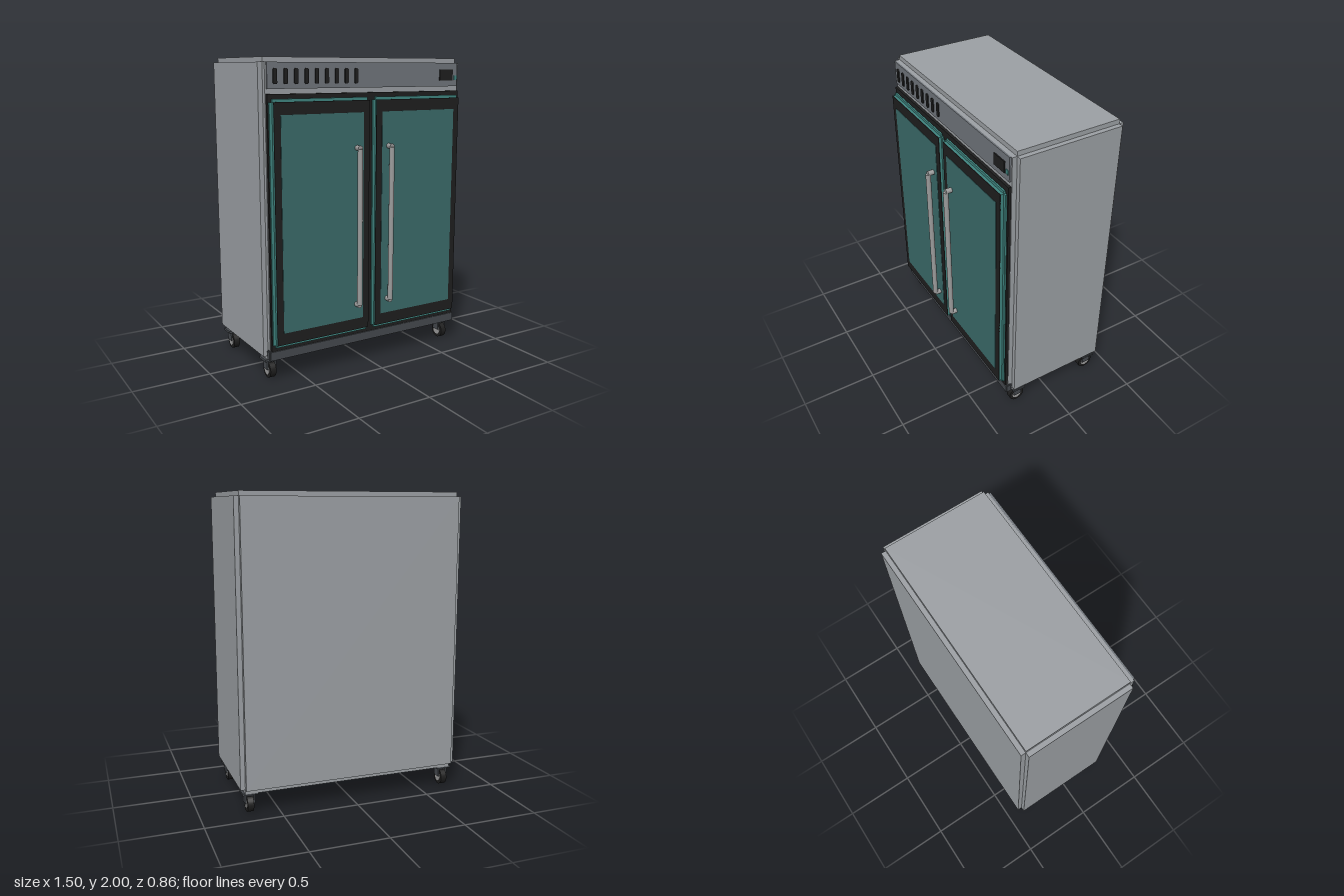
import * as THREE from 'three';

const mat = (name, color) => {
  const m = new THREE.MeshStandardMaterial({ color });
  m.name = name;
  return m;
};

export function createModel() {
  const steel = mat('brushed steel', 0x9b9fa3);
  const panelGrey = mat('panel grey', 0x70757b);
  const darkGrey = mat('dark grey', 0x44484d);
  const black = mat('black', 0x1e1e1e);
  const glassTeal = mat('glass teal', 0x3a6a69);
  const rimTeal = mat('rim teal', 0x3f8580);
  const handleGrey = mat('handle grey', 0x9a9a9a);

  const model = new THREE.Group();
  model.name = 'displayRefrigerator';

  const add = (parent, name, geometry, material, x = 0, y = 0, z = 0) => {
    const mesh = new THREE.Mesh(geometry, material);
    mesh.name = name;
    mesh.position.set(x, y, z);
    parent.add(mesh);
    return mesh;
  };
  // Box given by its extents
  const box = (parent, name, material, x0, x1, y0, y1, z0, z1) =>
    add(parent, name, new THREE.BoxGeometry(x1 - x0, y1 - y0, z1 - z0), material,
      (x0 + x1) / 2, (y0 + y1) / 2, (z0 + z1) / 2);
  // Box with stepped edges: three crossing boxes, each full size along one axis
  const steppedBox = (parent, name, material, x0, x1, y0, y1, z0, z1, r) => {
    const g = new THREE.Group();
    g.name = name;
    box(g, name + 'Wide', material, x0, x1, y0 + r, y1 - r, z0 + r, z1 - r);
    box(g, name + 'Tall', material, x0 + r, x1 - r, y0, y1, z0 + r, z1 - r);
    box(g, name + 'Deep', material, x0 + r, x1 - r, y0 + r, y1 - r, z0, z1);
    parent.add(g);
  };
  const rectPath = (shape, x0, x1, y0, y1) =>
    shape.moveTo(x0, y0).lineTo(x1, y0).lineTo(x1, y1).lineTo(x0, y1).closePath();

  // Cabinet
  steppedBox(model, 'cabinet', steel, -0.75, 0.75, 0.135, 2, -0.427, 0.315, 0.03);
  box(model, 'doorSurround', black, -0.715, 0.715, 0.205, 1.785, 0.31, 0.333);
  steppedBox(model, 'kickPlate', darkGrey, -0.73, 0.73, 0.143, 0.208, 0.29, 0.335, 0.006);

  // Control panel with vents, display and indicator
  box(model, 'controlPanel', panelGrey, -0.71, 0.71, 1.815, 1.97, 0.31, 0.326);
  for (let i = 0; i < 9; i++) {
    const x = -0.66 + i * 0.07;
    const w = 0.013, h = 0.046, c = 0.006;
    const slot = new THREE.Shape([
      [-w + c, -h], [w - c, -h], [w, -h + c], [w, h - c],
      [w - c, h], [-w + c, h], [-w, h - c], [-w, -h + c],
    ].map(([a, b]) => new THREE.Vector2(a, b)));
    add(model, 'ventSlot', new THREE.ExtrudeGeometry(slot, { depth: 0.008, bevelEnabled: false }),
      black, x, 1.888, 0.325);
  }
  box(model, 'display', black, 0.558, 0.668, 1.853, 1.925, 0.324, 0.333);
  box(model, 'indicatorLight', rimTeal, 0.68, 0.702, 1.857, 1.885, 0.324, 0.331);

  // Doors and handles, mirrored about the middle
  for (const s of [-1, 1]) {
    const door = new THREE.Group();
    door.name = s > 0 ? 'leftDoor' : 'rightDoor';
    model.add(door);
    const span = (a, b) => (s > 0 ? [a, b] : [-b, -a]);

    steppedBox(door, 'doorRim', rimTeal, ...span(0.013, 0.71), 0.23, 1.757, 0.32, 0.367, 0.018);

    const frame = new THREE.Shape();
    rectPath(frame, ...span(0.026, 0.692), 0.25, 1.74);
    const opening = new THREE.Path();
    rectPath(opening, ...span(0.07, 0.648), 0.325, 1.665);
    frame.holes.push(opening);
    add(door, 'doorFrame', new THREE.ExtrudeGeometry(frame, { depth: 0.004, bevelEnabled: false }),
      black, 0, 0, 0.3665);
    box(door, 'glassPane', glassTeal, ...span(0.07, 0.648), 0.325, 1.665, 0.366, 0.373);

    const x = s * 0.12;
    add(door, 'handleBar', new THREE.CylinderGeometry(0.017, 0.017, 1.01, 16), handleGrey, x, 0.935, 0.411);
    for (const y of [0.425, 1.445]) {
      const post = add(door, 'handlePost', new THREE.CylinderGeometry(0.017, 0.017, 0.045, 16),
        handleGrey, x, y, 0.391);
      post.rotation.x = Math.PI / 2;
    }
  }

  // Casters
  for (const x of [-0.685, 0.685]) {
    for (const z of [0.235, -0.345]) {
      const caster = new THREE.Group();
      caster.name = 'caster';
      caster.position.set(x, 0, z);
      model.add(caster);
      box(caster, 'mountPlate', darkGrey, -0.052, 0.052, 0.122, 0.137, -0.045, 0.045);
      add(caster, 'swivel', new THREE.CylinderGeometry(0.032, 0.032, 0.014, 20), darkGrey, 0, 0.116, 0);
      for (const s of [-1, 1]) {
        box(caster, 'forkArm', darkGrey, s * 0.028 - 0.005, s * 0.028 + 0.005, 0.06, 0.116, -0.028, 0.028);
      }
      const wheel = add(caster, 'wheel', new THREE.CylinderGeometry(0.054, 0.054, 0.04, 24), black, 0, 0.054, 0);
      wheel.rotation.z = Math.PI / 2;
      const hub = add(caster, 'hub', new THREE.CylinderGeometry(0.033, 0.033, 0.046, 20), handleGrey, 0, 0.054, 0);
      hub.rotation.z = Math.PI / 2;
    }
  }
  return model;
}
